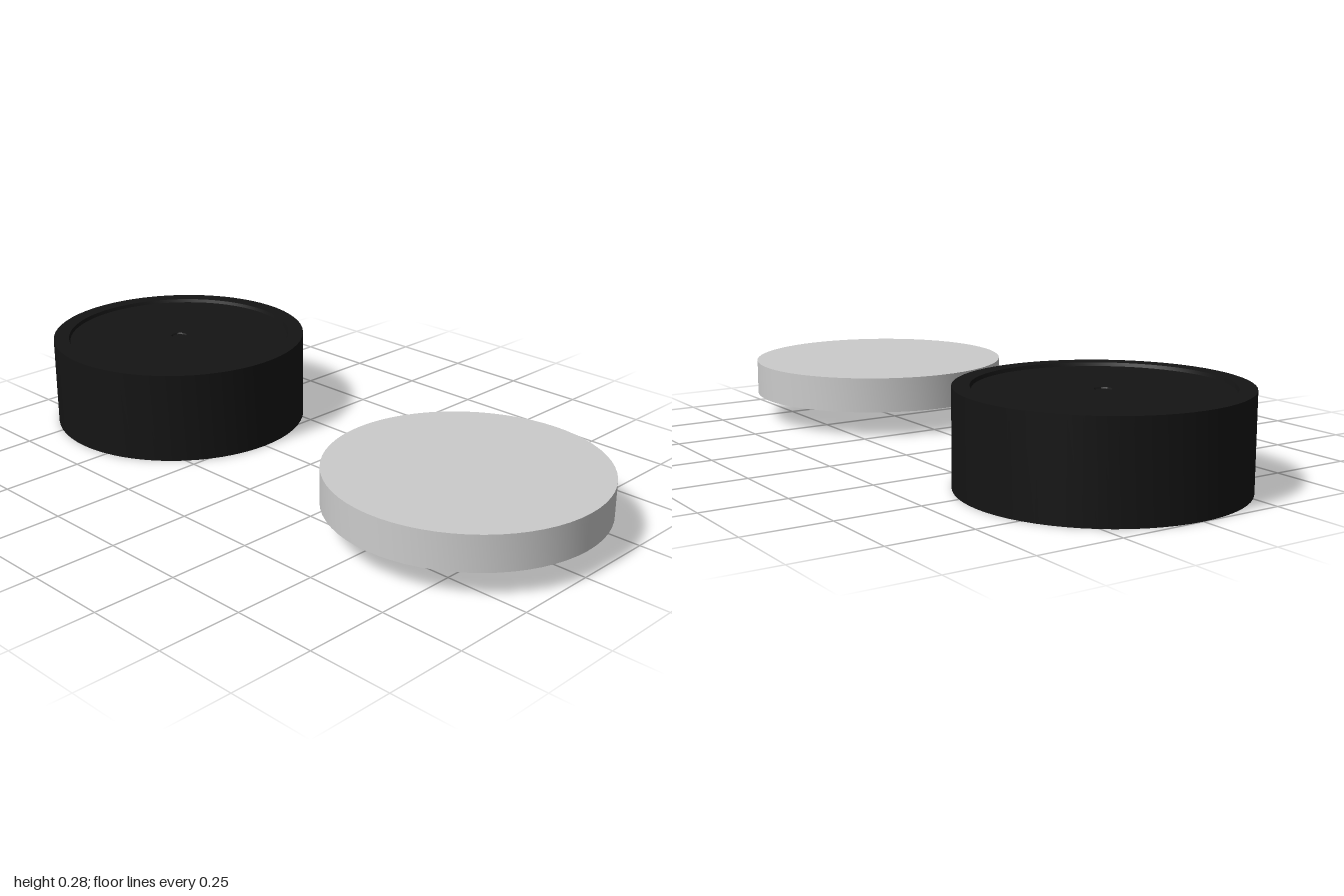
import * as THREE from 'three';
import { toCreasedNormals } from 'three/addons/utils/BufferGeometryUtils.js';

const SEGMENTS = 64;

// Revolves a closed [radius, height] profile, keeping its edges sharp
function turned(name, color, x, profile) {
  const points = profile.map(([r, y]) => new THREE.Vector2(r, y));
  const geometry = toCreasedNormals(new THREE.LatheGeometry(points, SEGMENTS), Math.PI / 6);
  const mesh = new THREE.Mesh(geometry, new THREE.MeshStandardMaterial({ color }));
  mesh.name = name;
  mesh.position.x = x;
  return mesh;
}

export function createModel() {
  const group = new THREE.Group();
  group.name = 'capAndInsert';

  // Deep black cap: hollow below, recessed panel and small centre dimple on top
  group.add(turned('cap', 0x141414, -0.6, [
    [0, 0.253], [0.388, 0.253], [0.388, 0],
    [0.4, 0], [0.4, 0.276],
    [0.352, 0.276], [0.348, 0.266],
    [0.025, 0.266], [0.022, 0.262], [0, 0.262],
  ]));

  // Shallow grey insert: flat disc with a thin skirt, open below
  group.add(turned('insert', 0xcccccc, 0.6, [
    [0, 0.173], [0.388, 0.173], [0.388, 0.077],
    [0.4, 0.077], [0.4, 0.183], [0, 0.183],
  ]));

  return group;
}
